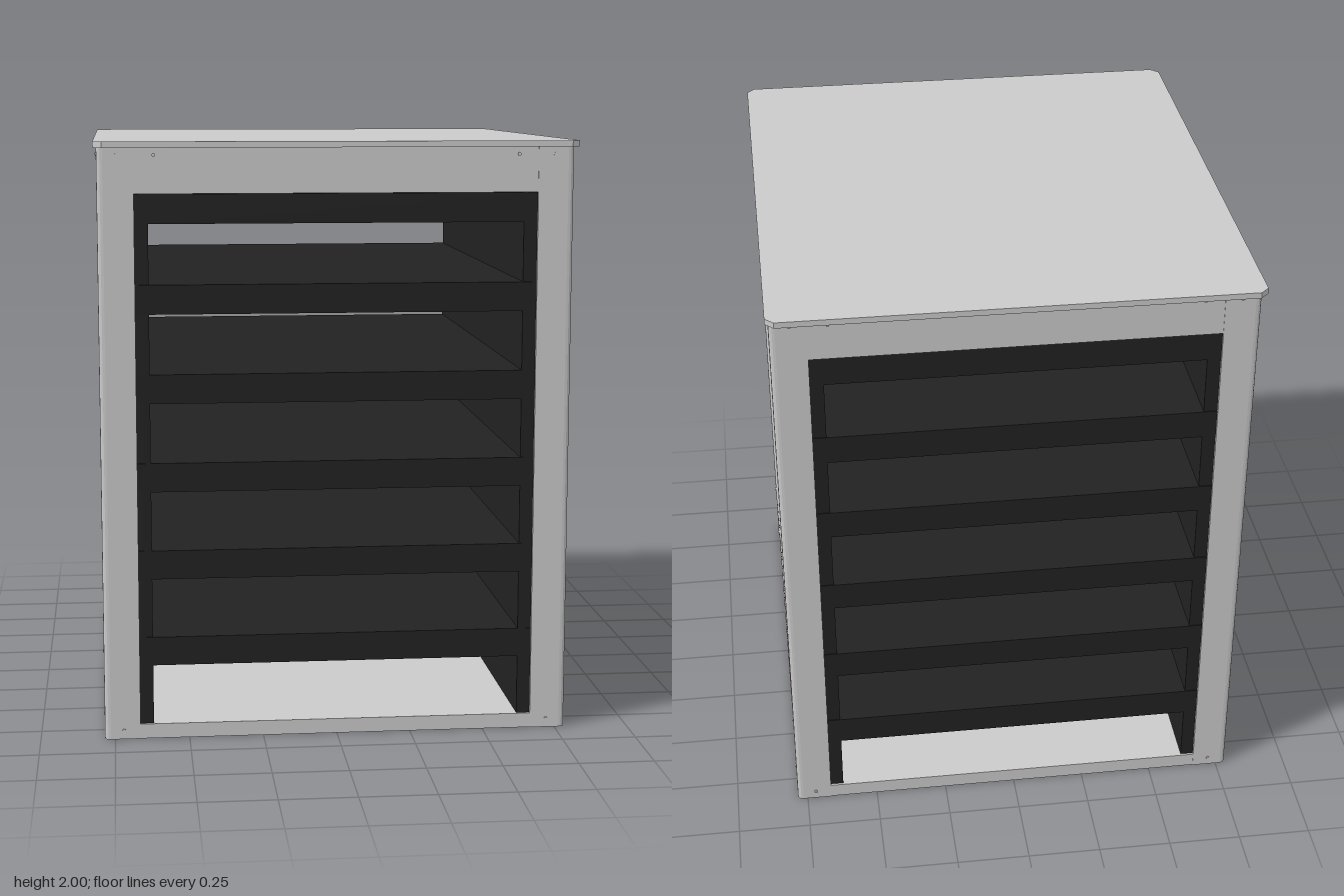
import * as THREE from 'three';

const grey = new THREE.MeshStandardMaterial({ color: 0xcccccc });
const greyThin = new THREE.MeshStandardMaterial({ color: 0xcccccc, side: THREE.DoubleSide, flatShading: true });
const black = new THREE.MeshStandardMaterial({ color: 0x222222 });
const red = new THREE.MeshStandardMaterial({ color: 0xcc1111, side: THREE.DoubleSide });

const W = 0.785, D = 0.86, LID_Y = 1.98; // body half width, half depth, lid underside
const OPEN_X = 0.665, OPEN_TOP = 1.83, BASE = 0.05;

function add(parent, name, geo, mat, x = 0, y = 0, z = 0) {
  const m = new THREE.Mesh(geo, mat);
  m.name = name;
  m.position.set(x, y, z);
  parent.add(m);
  return m;
}

// Box given by its min and max corners
function box(parent, name, mat, [x0, y0, z0], [x1, y1, z1]) {
  return add(parent, name, new THREE.BoxGeometry(x1 - x0, y1 - y0, z1 - z0), mat,
    (x0 + x1) / 2, (y0 + y1) / 2, (z0 + z1) / 2);
}

// Vertical prism from a plan outline
function prism(shape, height) {
  return new THREE.ExtrudeGeometry(shape, { depth: height, bevelEnabled: false, curveSegments: 4 }).rotateX(-Math.PI / 2);
}

// Flat polygons: quads or triangles as lists of corners
function facets(polys) {
  const pos = [];
  for (const p of polys)
    for (let i = 1; i < p.length - 1; i++) pos.push(...p[0], ...p[i], ...p[i + 1]);
  const g = new THREE.BufferGeometry();
  g.setAttribute('position', new THREE.Float32BufferAttribute(pos, 3));
  g.computeVertexNormals();
  return g;
}

// Rounded L-section post, one per corner
function cornerPost(sx, sz) {
  const t = 0.02, r = 0.02, s = new THREE.Shape();
  const p = (x, z) => [sx * x, sz * z];
  s.moveTo(...p(OPEN_X, D));
  s.lineTo(...p(W - r, D));
  s.quadraticCurveTo(...p(W, D), ...p(W, D - r));
  s.lineTo(...p(W, 0.792));
  s.lineTo(...p(W - t, 0.792));
  s.lineTo(...p(W - t, D - t));
  s.lineTo(...p(OPEN_X, D - t));
  s.closePath();
  return prism(s, LID_Y);
}

// Pressed-in vent: sloping hood, triangular ends, open bottom
function addVent(parent, x, y, z) {
  const h = 0.046, a = 0.098, b = 0.068, d = 0.04;
  const T0 = [0, h, -a], T1 = [0, h, a], B0 = [0, 0, -a], B1 = [0, 0, a];
  const I0 = [-d, 0, -b], I1 = [-d, 0, b];
  add(parent, 'ventHood', facets([[T1, I1, I0, T0], [T0, I0, B0], [T1, B1, I1]]), greyThin, x, y, z);
  add(parent, 'ventOpening', facets([[B0, I0, I1, B1]]), red, x, y, z);
}

function screw(parent, x, y, z, facingSide) {
  const g = new THREE.CylinderGeometry(0.006, 0.006, 0.008, 10);
  if (facingSide) g.rotateZ(Math.PI / 2); else g.rotateX(Math.PI / 2);
  add(parent, 'screw', g, grey, x, y, z);
}

function sideWall() {
  const g = new THREE.Group();
  const t = 0.008, outer = W - 0.002, half = 0.788;
  const s = new THREE.Shape();
  s.moveTo(-half, 0).lineTo(half, 0).lineTo(half, LID_Y).lineTo(-half, LID_Y).closePath();
  for (const z of [-0.58, -0.29, 0, 0.29, 0.58])
    for (const y of [0.05, 0.139, 0.229]) {
      const hole = new THREE.Path();
      hole.moveTo(z - 0.098, y).lineTo(z - 0.098, y + 0.046).lineTo(z + 0.098, y + 0.046).lineTo(z + 0.098, y).closePath();
      s.holes.push(hole);
      addVent(g, outer, y, z);
    }
  const geo = new THREE.ExtrudeGeometry(s, { depth: t, bevelEnabled: false }).rotateY(Math.PI / 2);
  add(g, 'sidePanel', geo, grey, outer - t, 0, 0);
  for (const z of [-0.74, 0.74])
    for (const y of [0.055, 0.275, 1.955]) screw(g, outer + 0.002, y, z, true);
  // Black lining of the shelf bay
  box(g, 'bayWall', black, [0.62, BASE, -0.85], [OPEN_X, OPEN_TOP, 0.85]);
  return g;
}

function endFrame() {
  const g = new THREE.Group();
  box(g, 'header', grey, [-OPEN_X, OPEN_TOP, 0.838], [OPEN_X, LID_Y, 0.858]);
  for (const x of [-0.72, -0.6, 0.6, 0.72]) screw(g, x, 1.955, 0.86, false);
  for (const x of [-0.72, 0.72]) screw(g, x, 0.03, 0.86, false);
  return g;
}

export function createModel() {
  const model = new THREE.Group();
  model.name = 'shelfCabinet';

  // Base with its floor and front and back lips
  box(model, 'base', grey, [-0.762, 0, -0.838], [0.762, BASE - 0.002, 0.838]);
  box(model, 'floor', grey, [-OPEN_X, 0, -0.858], [OPEN_X, BASE, 0.858]);

  for (const sx of [-1, 1])
    for (const sz of [-1, 1]) add(model, 'cornerPost', cornerPost(sx, sz), grey);

  // Both sides and both ends are alike, turned half round
  [0, Math.PI].forEach((turn, i) => {
    const side = sideWall(), end = endFrame();
    side.name = i ? 'rightSide' : 'leftSide';
    end.name = i ? 'backFrame' : 'frontFrame';
    side.rotation.y = end.rotation.y = turn;
    model.add(side, end);
  });

  // Full-depth shelves
  for (let i = 0; i < 6; i++) {
    const y = 0.252 + i * 0.296;
    box(model, 'shelf', black, [-OPEN_X, y, -0.853], [OPEN_X, y + 0.097, 0.853]);
  }

  // Overhanging lid with clipped corners
  const lx = 0.795, lz = 0.91, c = 0.028, lid = new THREE.Shape();
  lid.moveTo(-lx + c, -lz).lineTo(lx - c, -lz).lineTo(lx, -lz + c).lineTo(lx, lz - c)
    .lineTo(lx - c, lz).lineTo(-lx + c, lz).lineTo(-lx, lz - c).lineTo(-lx, -lz + c).closePath();
  add(model, 'lid', prism(lid, 2 - LID_Y), grey, 0, LID_Y, 0);

  return model;
}
